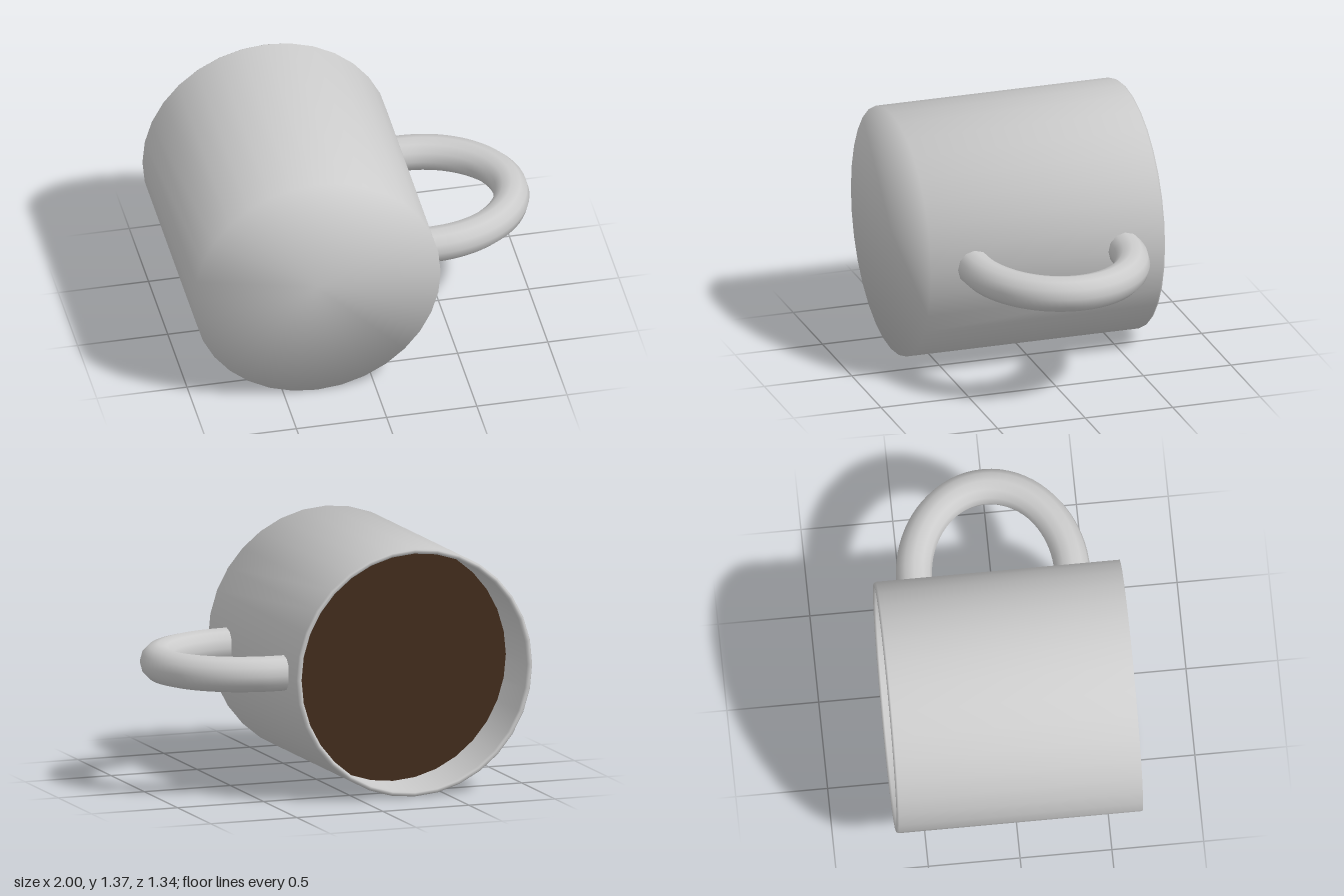
import * as THREE from 'three';

const RADIUS = 0.685, INNER = 0.655, HALF = 0.67;

export function createModel() {
  const group = new THREE.Group();
  const grey = new THREE.MeshStandardMaterial({ color: 0xcccccc });
  const brown = new THREE.MeshStandardMaterial({ color: 0x422c1c });

  // Mug lying on its side: axis along z, opening towards the back
  const mug = new THREE.Group();
  mug.name = 'mug';
  mug.position.set(-0.315, RADIUS, 0);
  mug.rotation.x = -Math.PI / 2;
  group.add(mug);

  // Closed base, outer wall, rounded rim, inner wall and floor
  const profile = [
    [0, -HALF], [RADIUS, -HALF],
    [RADIUS, HALF - 0.012], [RADIUS - 0.008, HALF],
    [INNER + 0.008, HALF], [INNER, HALF - 0.012],
    [INNER, -HALF + 0.05], [0, -HALF + 0.05],
  ].map(([r, y]) => new THREE.Vector2(r, y));
  const body = new THREE.Mesh(new THREE.LatheGeometry(profile, 32), grey);
  body.name = 'body';
  mug.add(body);

  // Drink surface inside the mug
  const drink = new THREE.Mesh(new THREE.CircleGeometry(INNER, 32), brown);
  drink.name = 'drink';
  drink.rotation.x = -Math.PI / 2;
  drink.position.y = 0.34;
  mug.add(drink);

  // Half-oval handle on the left, with short straight ends sunk into the wall
  const points = [new THREE.Vector3(0.345, 0, -0.43)];
  for (let i = 0; i <= 16; i++) {
    const a = -Math.PI / 2 + (i / 16) * Math.PI;
    points.push(new THREE.Vector3(0.38 + 0.52 * Math.cos(a), 0, 0.43 * Math.sin(a)));
  }
  points.push(new THREE.Vector3(0.345, 0, 0.43));
  const path = new THREE.CatmullRomCurve3(points);
  const handle = new THREE.Mesh(new THREE.TubeGeometry(path, 40, 0.098, 12), grey);
  handle.name = 'handle';
  handle.position.set(0, 0.69, -0.012);
  group.add(handle);

  return group;
}
